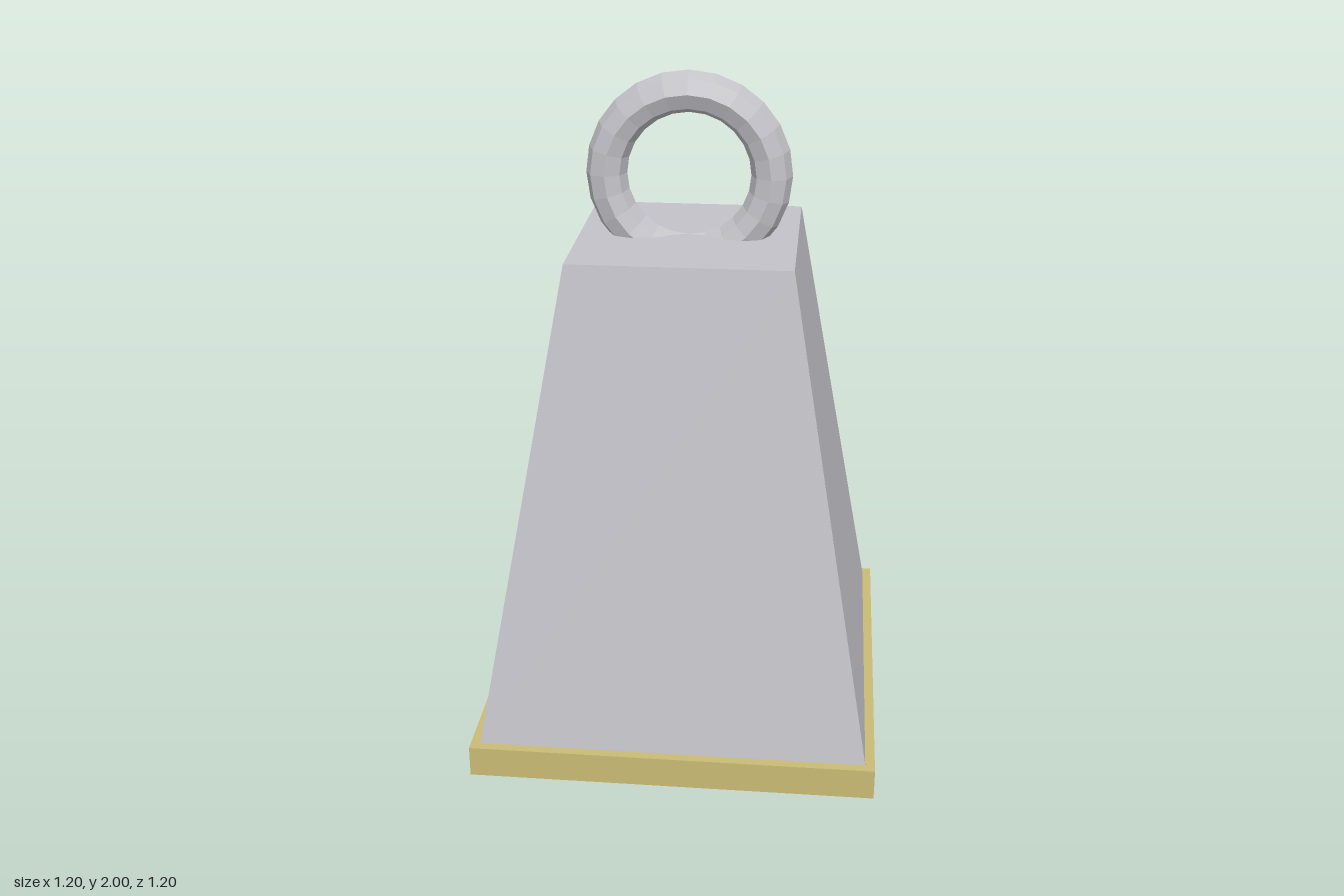
import * as THREE from 'three';

export function createModel() {
  const steel = new THREE.MeshStandardMaterial({ name: 'steel grey', color: 0xc3c2c8, flatShading: true });
  const brass = new THREE.MeshStandardMaterial({ name: 'brass', color: 0xc9bb74, flatShading: true });

  const group = new THREE.Group();
  group.name = 'weight';
  const add = (name, geometry, material, y) => {
    const mesh = new THREE.Mesh(geometry, material);
    mesh.name = name;
    mesh.position.y = y;
    group.add(mesh);
  };

  // Brass plinth with a steel underside
  const baseHeight = 0.095;
  add('base', new THREE.BoxGeometry(1.2, baseHeight, 1.2),
    [brass, brass, brass, steel, brass, brass], baseHeight / 2);

  // Square tapered body: a four-sided cylinder turned to face the axes
  const bodyHeight = 1.52 - baseHeight;
  const body = new THREE.CylinderGeometry(0.32 * Math.SQRT2, 0.572 * Math.SQRT2, bodyHeight, 4);
  body.rotateY(Math.PI / 4);
  add('body', body, steel, baseHeight + bodyHeight / 2);

  // Lifting ring sunk into the top
  add('ring', new THREE.TorusGeometry(0.24, 0.06, 8, 24), steel, 1.7);

  return group;
}
